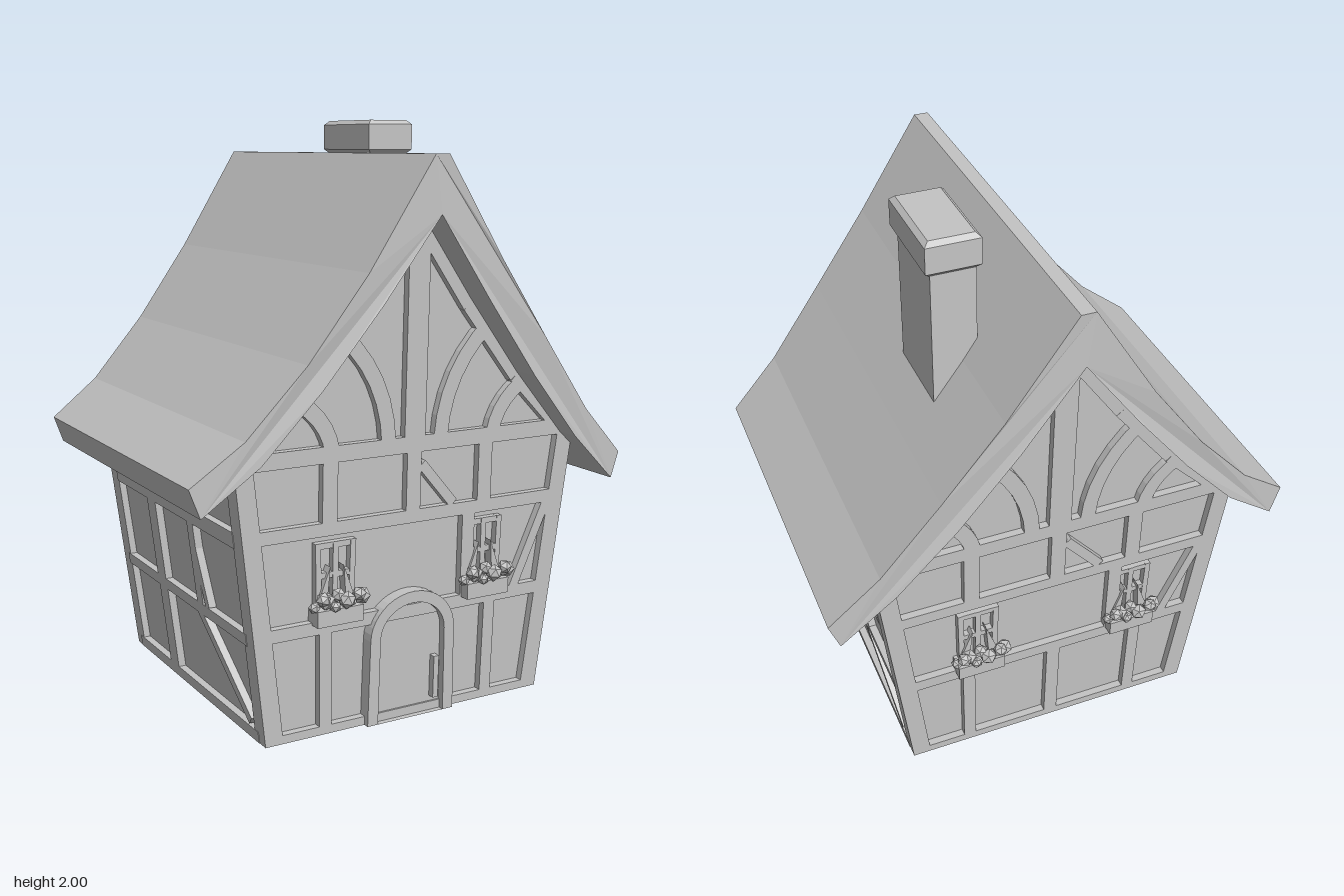
import * as THREE from 'three';

export function createModel() {
  const house = new THREE.Group();
  house.name = 'cottage';
  const clay = new THREE.MeshStandardMaterial({ color: 0xc4c4c4, flatShading: true });
  clay.name = 'grey clay';

  const add = (parent, name, geo) => {
    const m = new THREE.Mesh(geo, clay);
    m.name = name;
    parent.add(m);
    return m;
  };
  const shapeOf = pts => new THREE.Shape(pts.map(p => new THREE.Vector2(p[0], p[1])));
  const extrude = (shape, depth) =>
    new THREE.ExtrudeGeometry(shape, { depth, bevelEnabled: false, curveSegments: 10 });
  // move every vertex by a rule
  const warp = (geo, rule) => {
    const p = geo.attributes.position;
    const v = new THREE.Vector3();
    for (let i = 0; i < p.count; i++) {
      v.fromBufferAttribute(p, i);
      rule(v);
      p.setXYZ(i, v.x, v.y, v.z);
    }
    geo.computeVertexNormals();
    return geo;
  };

  // Roof: bowed sheet with ends that swing out toward the ridge
  const under = [[-0.79, 0.815], [-0.6, 0.96], [-0.4, 1.18], [-0.2, 1.43], [0, 1.7],
    [0.2, 1.42], [0.4, 1.16], [0.6, 0.93], [0.79, 0.755]];
  const over = [[0.825, 0.845], [0.65, 1.02], [0.45, 1.28], [0.25, 1.55], [0.025, 1.885],
    [-0.025, 1.885], [-0.25, 1.53], [-0.45, 1.26], [-0.65, 1.04], [-0.825, 0.91]];
  add(house, 'roof', warp(extrude(shapeOf([...under, ...over]), 2), v => {
    v.z = (v.z - 1) * (0.72 - 0.09 * Math.pow(Math.abs(v.x) / 0.82, 1.4));
  }));

  // Plaster core: gabled block that widens upward
  const core = [[-0.515, 0], [0.515, 0], [0.625, 0.9],
    ...under.slice(1, 8).reverse().map(([x, y]) => [x, y + 0.04]), [-0.625, 0.9]];
  add(house, 'plasterWalls', warp(extrude(shapeOf(core), 2), v => {
    v.z = (v.z - 1) * (0.525 + 0.03 * v.y);
  }));

  // Corner posts following the taper
  for (const sx of [-1, 1]) for (const sz of [-1, 1]) {
    add(house, 'cornerPost', warp(new THREE.BoxGeometry(1, 1, 1), v => {
      v.y = (v.y + 0.5) * 0.93;
      v.x = sx * (0.54 + 0.122 * v.y - (v.x * sx < 0 ? 0.065 : 0));
      v.z = sz * (0.552 + 0.03 * v.y - (v.z * sz < 0 ? 0.07 : 0));
    }));
  }

  // Flat wall pieces are drawn as (u, v) on a wall, then sheared onto its slope
  const wall = (name, ux, uz, nx, nz, base, lean) => {
    const g = new THREE.Group();
    g.name = name;
    house.add(g);
    const mat = new THREE.Matrix4().makeBasis(
      new THREE.Vector3(ux, 0, uz), new THREE.Vector3(nx * lean, 1, nz * lean), new THREE.Vector3(nx, 0, nz));
    mat.setPosition(nx * base, 0, nz * base);
    const place = (part, geo) => add(g, part, geo.applyMatrix4(mat));
    const poly = (pts, part = 'timber', d = 0.027) => place(part, extrude(shapeOf(pts), d));
    const bar = (a, b, w, part = 'timber', d = 0.027) => {
      const l = Math.hypot(b[0] - a[0], b[1] - a[1]);
      const nu = -(b[1] - a[1]) / l * w / 2, nv = (b[0] - a[0]) / l * w / 2;
      return poly([[a[0] - nu, a[1] - nv], [b[0] - nu, b[1] - nv], [b[0] + nu, b[1] + nv], [a[0] + nu, a[1] + nv]], part, d);
    };
    return { place, poly, bar };
  };

  // Curved brace of even width
  const brace = (w, a, c, b) => {
    const curve = new THREE.QuadraticBezierCurve(...[a, c, b].map(p => new THREE.Vector2(...p)));
    const left = [], right = [];
    for (let i = 0; i <= 6; i++) {
      const p = curve.getPoint(i / 6), t = curve.getTangent(i / 6);
      left.push([p.x - t.y * 0.027, p.y + t.x * 0.027]);
      right.unshift([p.x + t.y * 0.027, p.y - t.x * 0.027]);
    }
    w.poly([...left, ...right], 'curvedBrace');
  };

  // Window with mullions, flower box and blossoms
  const windowAt = (w, u) => {
    const rect = (x0, y0, x1, y1, name, d) => w.poly([[x0, y0], [x1, y0], [x1, y1], [x0, y1]], name, d);
    for (const s of [-1, 0, 1]) w.bar([u + s * 0.06, 0.41], [u + s * 0.065, 0.66], 0.02, 'windowBar', 0.025);
    for (const y of [0.42, 0.55, 0.65]) w.bar([u - 0.07, y], [u + 0.07, y], 0.02, 'windowBar', 0.024);
    for (const s of [-1, 1]) w.poly([[u + s * 0.07, 0.46], [u + s * 0.035, 0.46], [u + s * 0.025, 0.58]], 'trailingLeaf', 0.035);
    rect(u - 0.085, 0.39, u + 0.085, 0.445, 'flowerBox', 0.065);
    for (let i = 0; i < 9; i++) {
      const f = new THREE.IcosahedronGeometry(0.02 + 0.005 * (i % 3), 0);
      f.rotateX(i * 1.3).rotateZ(i * 0.7);
      f.translate(u - 0.088 + i * 0.022, 0.455 + 0.015 * ((i * 2) % 3), 0.045 + 0.02 * (i % 2));
      w.place('blossom', f);
    }
  };

  // Gable walls
  const gable = (w, isFront) => {
    for (const [y, h, t] of [[0.015, 0.03, 0.5], [0.375, 0.045, 0.55], [0.705, 0.045, 0.6], [0.95, 0.055, 0.62]])
      w.bar([-t, y], [t, y], h, 'crossBeam');
    for (const u of [-0.315, 0, 0.285]) w.bar([u, 0.7], [u, 0.95], 0.055);
    w.bar([0.225, 0.38], [0.225, 0.7], 0.05);
    w.bar([0.42, 0.38], [0.56, 0.7], 0.035, 'diagonalBrace');
    w.bar([0.03, 0.88], [0.16, 0.73], 0.035, 'diagonalBrace');
    w.bar([0, 0.95], [0, 1.7], 0.08, 'kingPost');
    for (const s of [-1, 1]) {
      w.bar([s * 0.32, 0.02], [s * 0.325, 0.37], 0.045);
      brace(w, [s * 0.1, 0.96], [s * 0.11, 1.19], [s * 0.29, 1.34]);
      brace(w, [s * 0.31, 0.96], [s * 0.33, 1.08], [s * 0.47, 1.15]);
      const r = [[0.63, 0.92], [0.4, 1.15], [0.2, 1.4], [0, 1.68]];
      for (let i = 0; i < 3; i++) w.bar([s * r[i][0], r[i][1]], [s * r[i + 1][0], r[i + 1][1]], 0.06, 'rafter');
      windowAt(w, s * 0.29);
    }
    if (!isFront) return w.bar([0, 0.02], [0, 0.37], 0.05);
    // Arched door with frame and handle
    const arch = (Path, r, y) => {
      const p = new Path();
      p.moveTo(-r, 0);
      p.lineTo(r, 0);
      p.lineTo(r * 0.97, y);
      p.absellipse(0, y, r * 0.97, 0.45 - y - (0.17 - r), 0, Math.PI, false);
      p.lineTo(-r, 0);
      return p;
    };
    const frame = arch(THREE.Shape, 0.17, 0.3);
    w.place('door', extrude(arch(THREE.Shape, 0.14, 0.3), 0.02));
    frame.holes.push(arch(THREE.Path, 0.13, 0.3));
    w.place('doorFrame', extrude(frame, 0.048));
    w.bar([0.1, 0.05], [0.1, 0.2], 0.02, 'doorHandle', 0.045);
  };
  gable(wall('frontTimbers', 1, 0, 0, 1, 0.525, 0.03), true);
  gable(wall('backTimbers', -1, 0, 0, -1, 0.525, 0.03), false);

  // Side walls
  const side = w => {
    for (const [y, h] of [[0.02, 0.04], [0.36, 0.04], [0.695, 0.055], [0.87, 0.05]])
      w.bar([-0.51, y], [0.51, y], h, 'crossBeam');
    w.bar([-0.175, 0.02], [-0.175, 0.37], 0.075);
    w.bar([-0.18, 0.36], [-0.18, 0.87], 0.075);
    w.bar([0.16, 0.36], [0.16, 0.87], 0.05);
    w.bar([0.13, 0.36], [0.46, 0.06], 0.035, 'diagonalBrace');
    w.bar([0.15, 0.66], [0.22, 0.38], 0.03, 'diagonalBrace');
  };
  side(wall('rightTimbers', 0, -1, 1, 0, 0.515, 0.122));
  side(wall('leftTimbers', 0, 1, -1, 0, 0.515, 0.122));

  // Chimney with a chamfered cap
  const chimney = new THREE.Group();
  chimney.name = 'chimney';
  house.add(chimney);
  add(chimney, 'chimneyStack', new THREE.BoxGeometry(0.15, 0.55, 0.3).translate(0.275, 1.635, -0.2));
  const cap = new THREE.ExtrudeGeometry(shapeOf([[-0.075, -0.15], [0.075, -0.15], [0.075, 0.15], [-0.075, 0.15]]),
    { depth: 0.09, bevelThickness: 0.015, bevelSize: 0.016, bevelSegments: 1 });
  add(chimney, 'chimneyCap', cap.rotateX(-Math.PI / 2).translate(0.278, 1.895, -0.2));

  return house;
}
